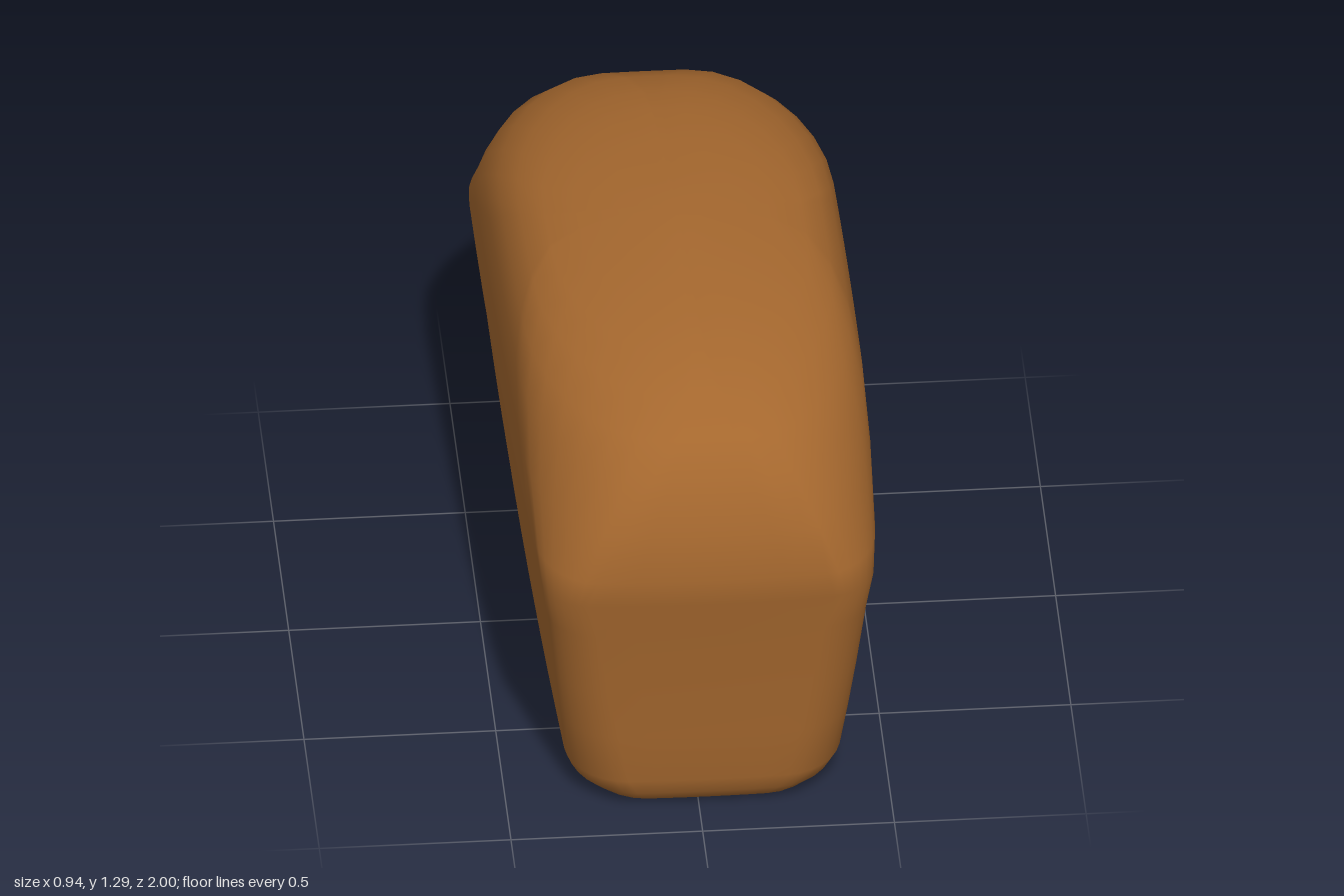
import * as THREE from 'three';

// Horizontal slices of the loaf:
// height, half width, half depth, corner radius in x, corner radius in z
const SLICES = [
  [0.0, 0.265, 0.83, 0.15, 0.22],
  [0.018, 0.32, 0.868, 0.16, 0.2],
  [0.05, 0.347, 0.89, 0.16, 0.18],
  [0.1, 0.363, 0.908, 0.15, 0.16],
  [0.25, 0.383, 0.925, 0.14, 0.14],
  [0.4, 0.401, 0.942, 0.13, 0.12],
  [0.6, 0.424, 0.97, 0.12, 0.11],
  [0.71, 0.441, 0.99, 0.11, 0.11],
  [0.79, 0.449, 1.0, 0.14, 0.19],
  [0.92, 0.45, 0.975, 0.21, 0.38],
  [1.05, 0.441, 0.92, 0.28, 0.5],
  [1.13, 0.417, 0.845, 0.31, 0.56],
  [1.19, 0.38, 0.735, 0.32, 0.56],
  [1.23, 0.325, 0.61, 0.3, 0.53],
  [1.257, 0.245, 0.48, 0.23, 0.44],
  [1.276, 0.155, 0.32, 0.145, 0.3],
  [1.288, 0.06, 0.14, 0.055, 0.13],
];

// Rectangle with elliptical corners and evenly divided sides
function ring(w, d, rx, rz) {
  const points = [];
  const corners = [[1, 1], [-1, 1], [-1, -1], [1, -1]];
  const arc = 7;
  corners.forEach(([sx, sz], k) => {
    const cx = sx * (w - rx), cz = sz * (d - rz);
    for (let i = 0; i <= arc; i++) {
      const a = (k + i / arc) * Math.PI / 2;
      points.push([cx + rx * Math.cos(a), cz + rz * Math.sin(a)]);
    }
    const [nx, nz] = corners[(k + 1) % 4];
    const [px, pz] = points[points.length - 1];
    const steps = k % 2 ? 9 : 6;
    for (let i = 1; i < steps; i++) {
      const t = i / steps;
      points.push([
        px + (nx - sx) * (w - rx) * t,
        pz + (nz - sz) * (d - rz) * t,
      ]);
    }
  });
  return points;
}

function loafGeometry() {
  const positions = [], index = [];
  // Gently bulging sides and ends, slight skew and a tilted base
  const add = (x, y, z) => {
    const sideBulge = 1.03 - 0.035 * (z + 0.3) ** 2;
    const endBulge = 1 - 0.12 * x * x;
    const tilt = 0.012 * (1 - z) * (1 - y / 1.291);
    positions.push(x * sideBulge + 0.004 + 0.004 * y + 0.02 * z, y + tilt, z * endBulge);
  };
  let n = 0;
  for (const [y, ...outline] of SLICES) {
    const points = ring(...outline);
    n = points.length;
    points.forEach(([x, z]) => add(x, y, z));
  }
  const rows = SLICES.length;
  const bottom = rows * n, top = bottom + 1;
  add(0, 0.003, 0);
  add(0, 1.291, 0);
  for (let j = 0; j < n; j++) {
    const k = (j + 1) % n;
    for (let i = 0; i < rows - 1; i++) {
      const a = i * n + j, b = i * n + k;
      index.push(a, a + n, b, b, a + n, b + n);
    }
    index.push(bottom, j, k);
    index.push(top, (rows - 1) * n + k, (rows - 1) * n + j);
  }
  const geometry = new THREE.BufferGeometry();
  geometry.setAttribute('position', new THREE.Float32BufferAttribute(positions, 3));
  geometry.setIndex(index);
  geometry.computeVertexNormals();
  return geometry;
}

export function createModel() {
  const group = new THREE.Group();
  group.name = 'breadLoaf';
  const crust = new THREE.MeshStandardMaterial({ color: 0xa4672e });
  crust.name = 'crust brown';
  const loaf = new THREE.Mesh(loafGeometry(), crust);
  loaf.name = 'loaf';
  group.add(loaf);
  return group;
}
